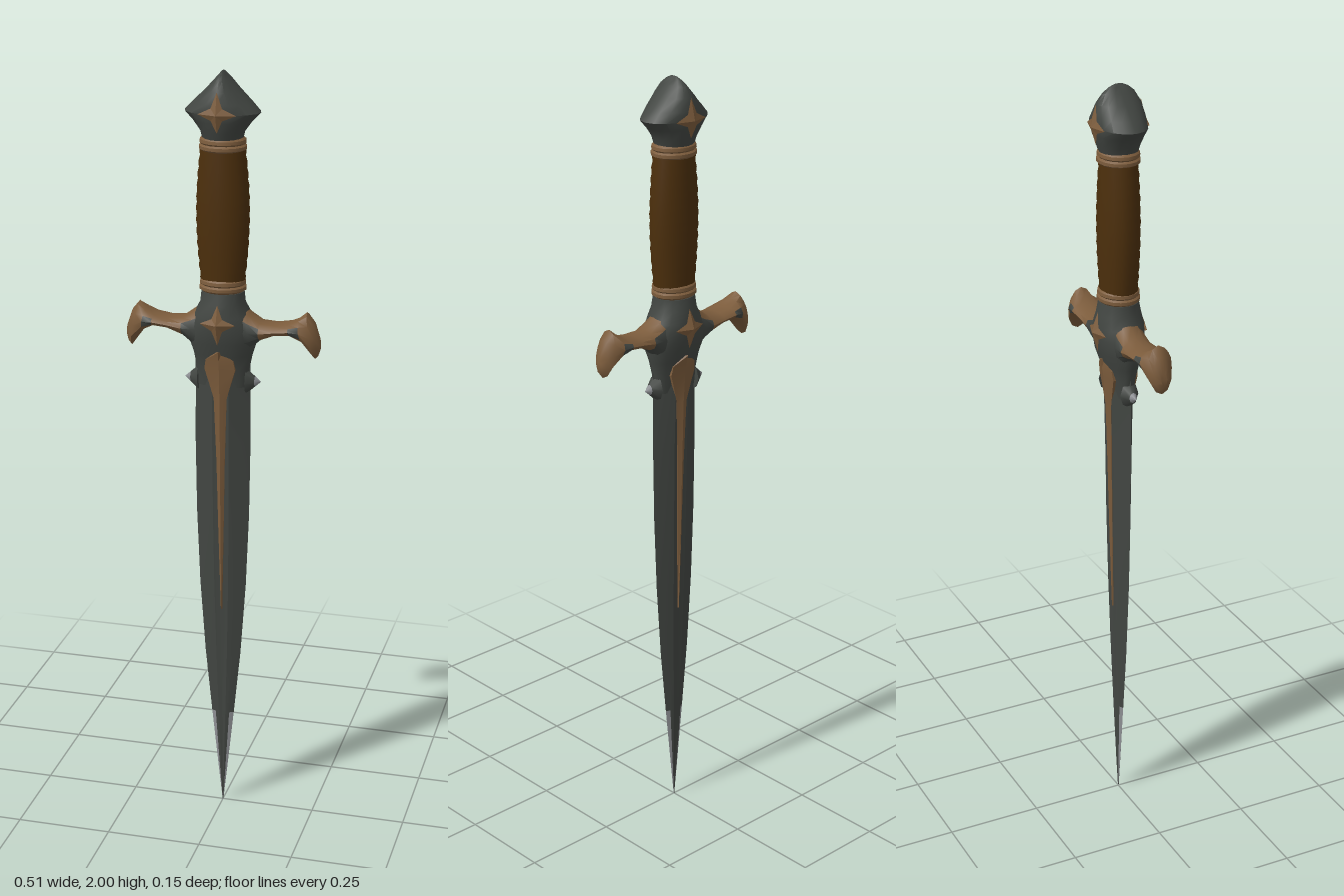
import * as THREE from 'three';
import { toCreasedNormals } from 'three/addons/utils/BufferGeometryUtils.js';

const mat = (name, color, side = THREE.FrontSide) => {
  const m = new THREE.MeshStandardMaterial({ color, side });
  m.name = name;
  return m;
};

// Skin a list of rings (arrays of points); pick(ring, side) chooses the material slot.
function loft(rings, pick = () => 0, crease = 0.6) {
  const n = rings[0].length, last = rings.length - 1;
  const pos = rings.flat().flatMap(p => p);
  const slots = [[], [], []];
  for (let i = 0; i < last; i++) for (let j = 0; j < n; j++) {
    const a = i * n + j, b = i * n + (j + 1) % n, c = a + n, d = b + n;
    slots[pick(i, j)].push(a, c, b, b, c, d);
  }
  for (const [r, top] of [[0, false], [last, true]]) {
    const centre = [0, 1, 2].map(k => rings[r].reduce((s, p) => s + p[k], 0) / n);
    const id = pos.length / 3;
    pos.push(...centre);
    for (let j = 0; j < n; j++) {
      const a = r * n + j, b = r * n + (j + 1) % n;
      slots[pick(top ? last - 1 : 0, j)].push(id, ...(top ? [b, a] : [a, b]));
    }
  }
  const g = new THREE.BufferGeometry();
  g.setAttribute('position', new THREE.Float32BufferAttribute(pos, 3));
  g.setIndex(slots.flat());
  let start = 0;
  slots.forEach((s, k) => { if (s.length) g.addGroup(start, s.length, k); start += s.length; });
  return toCreasedNormals(g, crease);
}

const circle = n => Array.from({ length: n }, (_, i) => {
  const a = i / n * Math.PI * 2;
  return [Math.cos(a), Math.sin(a)];
});

// Rings stacked upwards from rows of [y, halfWidth, halfDepth]
const stack = (rows, section) => rows.map(([y, w, d]) => section.map(([u, v]) => [u * w, y, v * d]));

// Raised four-pointed star facing +z
function star(w, up, down, zTip, zMid) {
  const q = 0.3, pts = [];
  const tips = [[w, 0], [0, up], [-w, 0], [0, -down]];
  tips.forEach(([x, y], i) => {
    const [nx, ny] = tips[(i + 1) % 4];
    pts.push([x, y, zTip], [(x + nx) * q, (y + ny) * q, zTip + (zMid - zTip) * 0.3]);
  });
  const tri = [];
  pts.forEach((p, i) => tri.push(0, 0, zMid, ...p, ...pts[(i + 1) % pts.length]));
  const g = new THREE.BufferGeometry();
  g.setAttribute('position', new THREE.Float32BufferAttribute(tri, 3));
  g.computeVertexNormals();
  return g;
}

export function createModel() {
  const model = new THREE.Group();
  model.name = 'dagger';
  const steel = mat('dark steel', 0x424642);
  const bronze = mat('bronze', 0x7c5c3c, THREE.DoubleSide);
  const leather = mat('brown leather', 0x4c2f0c);
  const silver = mat('bright steel', 0x8e9094);
  const add = (name, geo, m, parent = model) => {
    const mesh = new THREE.Mesh(geo, m);
    mesh.name = name;
    parent.add(mesh);
    return mesh;
  };

  // Blade: fullered section, bright edges near the point
  const half = [[1, 0], [0.62, 0.6], [0.3, 1], [0, 0.85], [-0.3, 1], [-0.62, 0.6]];
  const bladeSection = [...half, ...half.map(([u, v]) => [-u, -v])];
  const bladeRows = [[0, 0.001, 0.001], [0.1, 0.012, 0.005], [0.27, 0.03, 0.01], [0.45, 0.048, 0.014],
    [0.65, 0.062, 0.019], [0.85, 0.07, 0.023], [1.05, 0.073, 0.026], [1.19, 0.072, 0.03], [1.27, 0.072, 0.032]];
  add('blade', loft(stack(bladeRows, bladeSection),
    (i, j) => (i < 2 && [0, 5, 6, 11].includes(j) ? 1 : 0), 0.4), [steel, silver]);

  // Bronze inlay running down both faces
  const plate = [[1, 0.8], [0, 1], [-1, 0.8], [-1, -0.8], [0, -1], [1, -0.8]];
  add('bladeInlay', loft(stack([[0.58, 0.002, 0.019], [0.8, 0.007, 0.026], [1.0, 0.011, 0.031],
    [1.17, 0.017, 0.036], [1.21, 0.028, 0.039], [1.25, 0.04, 0.042], [1.275, 0.036, 0.046],
    [1.3, 0.008, 0.052]], plate), undefined, 0.3), bronze);

  // Guard centre flowing into the blade
  const round = circle(16);
  add('guardCentre', loft(stack([[1.2, 0.066, 0.026], [1.25, 0.07, 0.033], [1.285, 0.077, 0.042],
    [1.32, 0.088, 0.054], [1.36, 0.088, 0.061], [1.39, 0.074, 0.062], [1.42, 0.058, 0.056],
    [1.45, 0.055, 0.05]], round), undefined, 0.9), steel);

  // Guard arms: slanted stations [topX, topY, bottomX, bottomY, halfDepth]
  const stations = [[0.04, 1.43, 0.04, 1.28, 0.042], [0.07, 1.4, 0.075, 1.305, 0.043],
    [0.1, 1.378, 0.1, 1.328, 0.043], [0.14, 1.374, 0.135, 1.344, 0.044], [0.175, 1.38, 0.178, 1.348, 0.046],
    [0.198, 1.392, 0.208, 1.332, 0.043], [0.217, 1.408, 0.24, 1.288, 0.032],
    [0.236, 1.385, 0.247, 1.297, 0.022], [0.25, 1.345, 0.253, 1.315, 0.008]];
  const armGeo = loft(stations.map(([tx, ty, bx, by, d]) => circle(12).map(([u, v]) => {
    const t = (v + 1) / 2;
    return [bx + (tx - bx) * t, by + (ty - by) * t, u * d];
  })), (i, j) => {
    const upper = j >= 1 && j <= 4, flank = [0, 5, 6, 11].includes(j);
    return (i < 2 && !upper) || (i === 4 && flank) ? 1 : 0;
  }, 0.8);
  for (const s of [1, -1]) {
    const arm = add(s > 0 ? 'leftGuardArm' : 'rightGuardArm', armGeo, [bronze, steel]);
    if (s < 0) arm.rotation.y = Math.PI;

    // Small barb at the shoulder of the blade, with a bright tip
    const barb = new THREE.Group();
    barb.name = s > 0 ? 'leftBarb' : 'rightBarb';
    const base = add('barbBase', new THREE.CylinderGeometry(0.014, 0.034, 0.022, 8), steel, barb);
    const tip = add('barbTip', new THREE.ConeGeometry(0.014, 0.016, 8), silver, barb);
    tip.position.y = 0.019;
    base.position.y = 0;
    barb.scale.z = 0.75;
    barb.position.set(s * 0.073, 1.215, 0);
    barb.rotation.z = -s * Math.PI / 2;
    model.add(barb);
  }

  // Grip with slight wrap ridges
  const gripRows = Array.from({ length: 25 }, (_, i) => {
    const t = i / 24, swell = Math.sin(Math.PI * Math.min(1, t * 0.95 + 0.02));
    const ridge = i % 2 ? 0.0012 : -0.0012;
    return [1.47 + 0.35 * t, 0.055 + 0.013 * swell + ridge, 0.045 + 0.006 * swell + ridge];
  });
  add('grip', loft(stack(gripRows, round), undefined, 0.9), leather);

  // Bronze collars at both ends of the grip
  for (const [name, y] of [['lowerCollar', 1.45], ['upperCollar', 1.805]]) {
    add(name, loft(stack([[y, 0.053, 0.047], [y + 0.005, 0.06, 0.053], [y + 0.013, 0.06, 0.053],
      [y + 0.017, 0.055, 0.048], [y + 0.021, 0.059, 0.052], [y + 0.029, 0.058, 0.051],
      [y + 0.034, 0.052, 0.046]], round)), bronze);
  }

  // Pommel: pointed from the front, rounded from the side
  add('pommel', loft(stack([[1.83, 0.05, 0.046], [1.855, 0.056, 0.055], [1.88, 0.074, 0.062],
    [1.902, 0.096, 0.065], [1.925, 0.074, 0.063], [1.955, 0.043, 0.057], [1.98, 0.02, 0.042],
    [1.993, 0.008, 0.026], [2.0, 0.002, 0.01]], round), undefined, 0.65), steel);

  // Raised stars on the pommel and guard, front and back
  const pommelStar = star(0.048, 0.055, 0.045, 0.06, 0.074);
  const guardStar = star(0.046, 0.05, 0.055, 0.057, 0.074);
  for (const turn of [0, Math.PI]) {
    for (const [name, geo, y] of [['pommelStar', pommelStar, 1.902], ['guardStar', guardStar, 1.375]]) {
      const m = add((turn ? 'back ' : 'front ') + name, geo, bronze);
      m.position.y = y;
      m.rotation.y = turn;
    }
  }
  return model;
}
